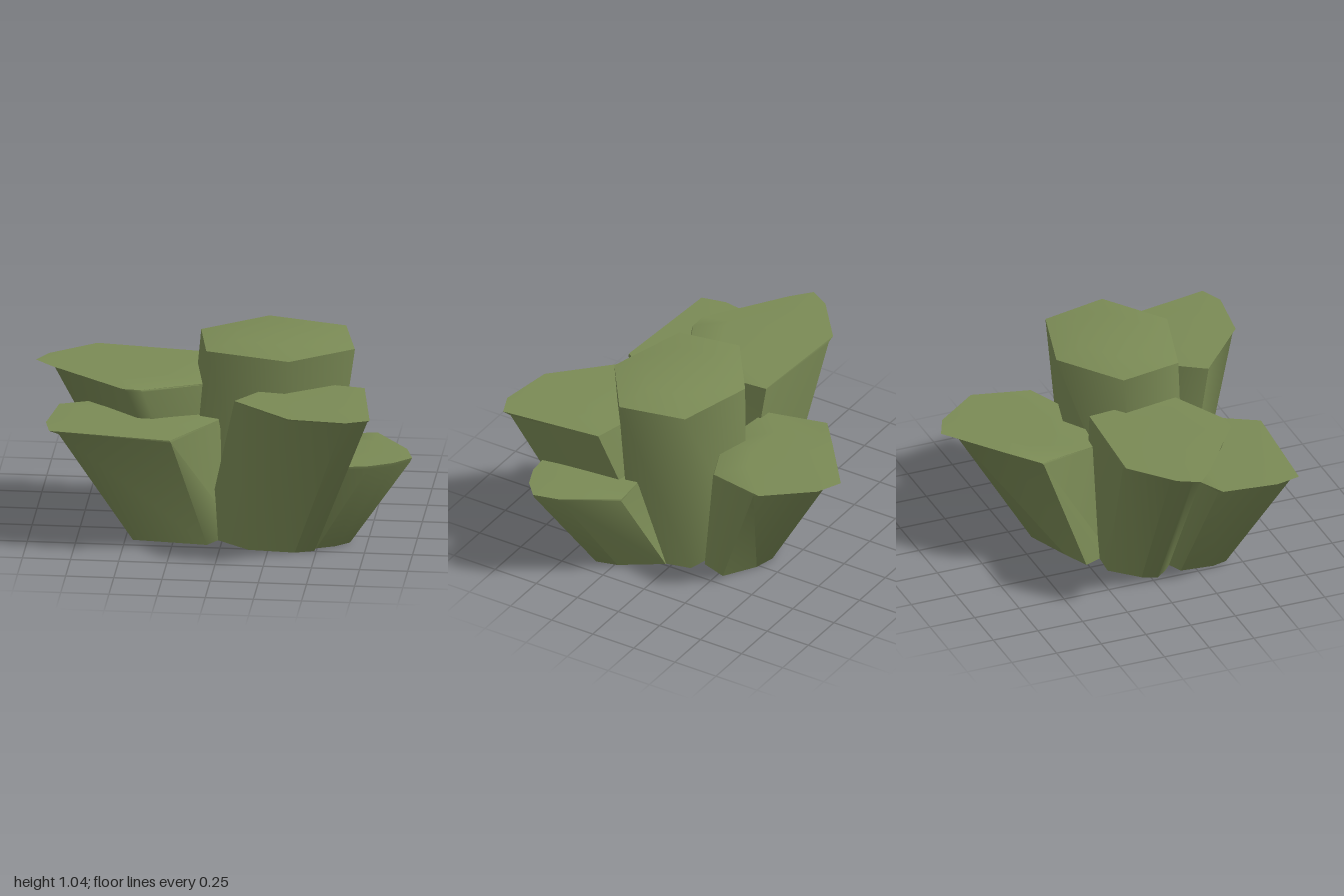
import * as THREE from 'three';
import { toCreasedNormals } from 'three/addons/utils/BufferGeometryUtils.js';

// Each column: rim outline [x, z] (clockwise from above), rim height, outward lean,
// overhang of the lip, rise of the cap, and base extents [x0, x1, z0, z1].
const columns = [
  { name: 'centreColumn', h: 1.01, lean: [0, 0], lip: 0, rise: 0.03, base: [-0.24, 0.53, -0.2, 0.42],
    rim: [[-0.15, -0.02], [0.18, -0.26], [0.59, -0.15], [0.67, 0.2], [0.35, 0.43], [-0.09, 0.31]] },
  { name: 'rightColumn', h: 0.82, lean: [-1, 0], lip: 0.09, rise: 0.005, base: [-0.48, 0.08, -0.18, 0.3],
    rim: [[-1, 0.06], [-0.94, -0.05], [-0.71, -0.24], [-0.12, -0.2], [-0.08, 0.27], [-0.42, 0.43], [-0.51, 0.43], [-0.9, 0.15]] },
  { name: 'frontRightColumn', h: 0.65, lean: [-0.95, 0.3], lip: 0.05, rise: 0.005, base: [-0.48, 0.07, 0.1, 0.46],
    rim: [[-0.9, 0.53], [-0.86, 0.24], [-0.6, 0.12], [-0.1, 0.16], [-0.02, 0.35], [-0.24, 0.71], [-0.87, 0.66]] },
  { name: 'frontLeftColumn', h: 0.825, lean: [0.4, 0.9], lip: 0.04, rise: 0.005, base: [-0.1, 0.49, 0.11, 0.53],
    rim: [[0.08, 0.55], [0.26, 0.29], [0.55, 0.25], [0.73, 0.29], [0.81, 0.82], [0.69, 0.87], [0.39, 0.83]] },
  { name: 'leftColumn', h: 0.52, lean: [0.95, 0.3], lip: 0.01, rise: 0.005, base: [0.3, 0.66, 0.03, 0.47],
    rim: [[0.54, 0.42], [0.59, 0.14], [0.78, 0.12], [0.96, 0.38], [1, 0.52], [0.91, 0.6], [0.79, 0.65], [0.6, 0.67]] },
  { name: 'backColumn', h: 0.655, lean: [0.2, -0.98], lip: 0.08, rise: 0.005, base: [-0.22, 0.43, -0.41, -0.08],
    rim: [[-0.22, -0.51], [-0.05, -0.65], [0.24, -0.88], [0.37, -0.82], [0.56, -0.58], [0.5, -0.27], [0.2, -0.14], [-0.15, -0.18]] },
];

const range = (values) => [Math.min(...values), Math.max(...values)];
const remap = (v, [a, b], c, d) => c + ((v - a) / (b - a)) * (d - c);

function columnGeometry({ rim, h, lean, lip, rise, base }) {
  // The rim tilts up and overhangs towards the lean direction
  const along = rim.map(([x, z]) => x * lean[0] + z * lean[1]);
  const [lo, hi] = range(along);
  const t = along.map((d) => (hi > lo ? (d - lo) / (hi - lo) : 0));
  const shoulder = rim.map(([x, z], i) => [x - lean[0] * lip * t[i] ** 2, h + 0.004 * t[i] - 0.005, z - lean[1] * lip * t[i] ** 2]);
  const top = rim.map(([x, z], i) => [x, h + 0.02 * t[i], z]);
  const xs = range(shoulder.map((p) => p[0]));
  const zs = range(shoulder.map((p) => p[2]));
  const foot = shoulder.map(([x, , z]) => [remap(x, xs, base[0], base[1]), 0, remap(z, zs, base[2], base[3])]);
  const centre = (ring) => [0, 1, 2].map((k) => ring.reduce((s, p) => s + p[k], 0) / ring.length);
  const c = centre(top);
  const cap = top.map((p) => [c[0] + (p[0] - c[0]) * 0.55, c[1] + (p[1] - c[1]) * 0.55 + rise, c[2] + (p[2] - c[2]) * 0.55]);
  const peak = [c[0], c[1] + rise, c[2]];
  const under = centre(foot);

  const pos = [];
  const tri = (...corners) => corners.forEach((p) => pos.push(...p));
  const rings = [foot, shoulder, top, cap];
  for (let i = 0; i < rim.length; i++) {
    const j = (i + 1) % rim.length;
    tri(under, foot[i], foot[j]);
    for (let r = 0; r < rings.length - 1; r++) {
      const [a, b] = [rings[r], rings[r + 1]];
      tri(a[i], b[i], b[j]);
      tri(a[i], b[j], a[j]);
    }
    tri(cap[i], peak, cap[j]);
  }
  const geo = new THREE.BufferGeometry();
  geo.setAttribute('position', new THREE.Float32BufferAttribute(pos, 3));
  return toCreasedNormals(geo, 1.15);
}

export function createModel() {
  const group = new THREE.Group();
  group.name = 'rockCluster';
  const material = new THREE.MeshStandardMaterial({ color: 0x7a8a55 });
  for (const column of columns) {
    const mesh = new THREE.Mesh(columnGeometry(column), material);
    mesh.name = column.name;
    group.add(mesh);
  }
  return group;
}
